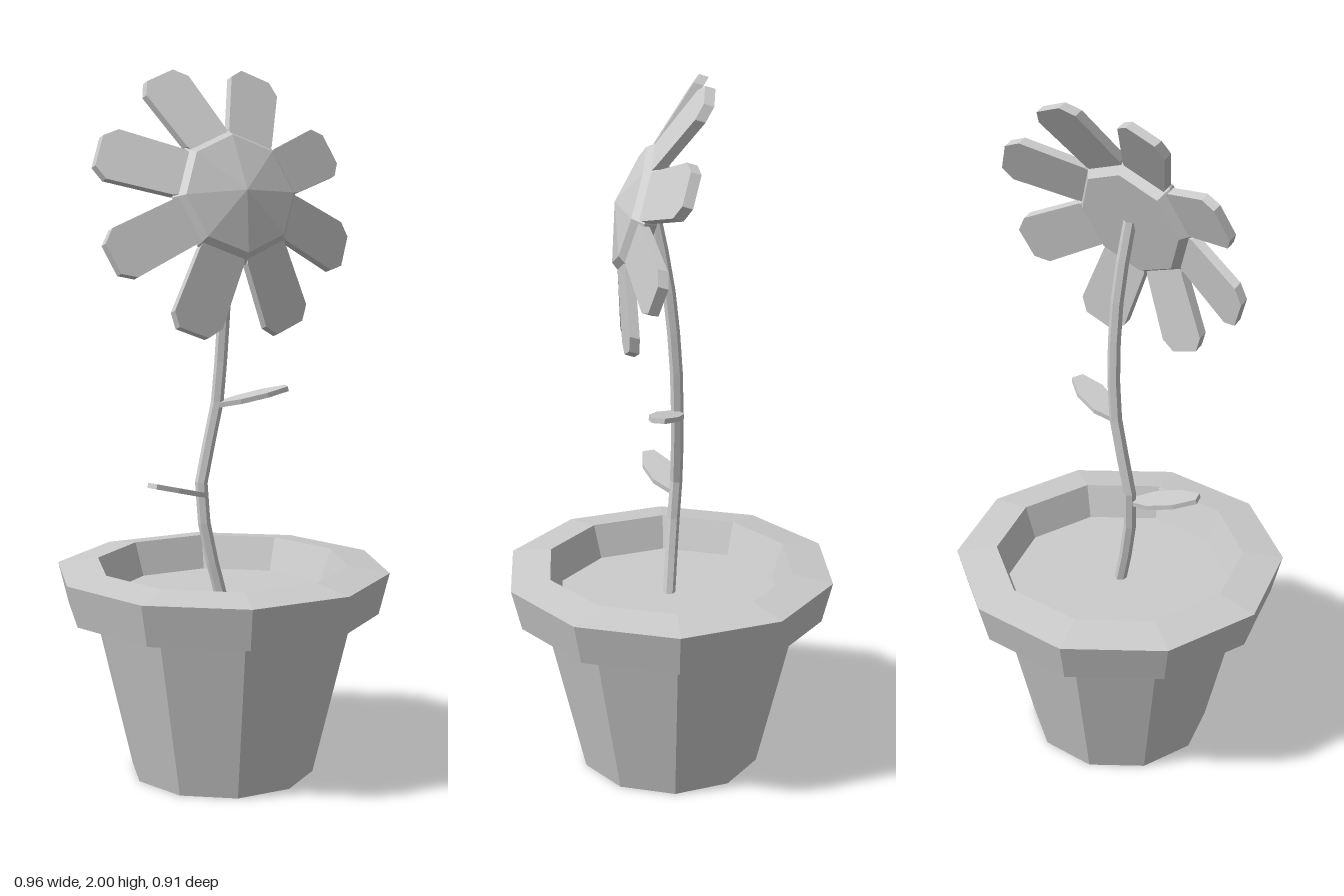
import * as THREE from 'three';

const material = new THREE.MeshStandardMaterial({ color: 0xcccccc, flatShading: true });

function addMesh(parent, name, geometry) {
  const mesh = new THREE.Mesh(geometry, material);
  mesh.name = name;
  parent.add(mesh);
  return mesh;
}

const vec2 = (list) => list.map(([x, y]) => new THREE.Vector2(x, y));

// Ten-sided turned part with a corner on the x axis
const turned = (profile) => new THREE.LatheGeometry(vec2(profile), 10, Math.PI / 2);

// Flat slab, symmetric about the x axis, from half of its outline
function slab(half, thickness) {
  const mirrored = half.map(([x, y]) => [x, -y]);
  const shape = new THREE.Shape(vec2([...mirrored, ...half.reverse()]));
  const geometry = new THREE.ExtrudeGeometry(shape, { depth: thickness, bevelEnabled: false });
  return geometry.translate(0, 0, -thickness / 2);
}

function addLeaf(parent, name, position, yaw, rise) {
  const geometry = slab([[0, 0.012], [0.06, 0.04], [0.14, 0.042], [0.205, 0.018]], 0.014);
  const leaf = addMesh(parent, name, geometry.rotateX(-Math.PI / 2));
  leaf.position.set(...position);
  leaf.rotation.set(0, yaw, rise, 'YZX');
}

function createFlower() {
  const flower = new THREE.Group();
  flower.name = 'flowerHead';

  // Faceted centre with a low cone on its face
  const disc = new THREE.LatheGeometry(
    vec2([[0, -0.035], [0.162, -0.035], [0.192, 0], [0.165, 0.035], [0, 0.075]]), 8);
  addMesh(flower, 'flowerCentre', disc.rotateX(Math.PI / 2));

  // Petals, leaning back towards their tips
  const petal = slab([[0.14, 0.055], [0.178, 0.068], [0.355, 0.074], [0.39, 0.045]], 0.028);
  const p = petal.attributes.position;
  for (let i = 0; i < p.count; i++) {
    p.setZ(i, p.getZ(i) - 0.07 * (p.getX(i) - 0.17) / 0.215);
  }
  for (let i = 0; i < 8; i++) {
    addMesh(flower, 'petal', petal).rotation.z = (i + 0.5) * Math.PI / 4;
  }

  flower.position.set(0, 1.652, 0.077);
  flower.rotation.x = -0.29;
  return flower;
}

export function createModel() {
  const model = new THREE.Group();
  model.name = 'pottedFlower';

  // Pot
  addMesh(model, 'potBody', turned([[0, 0], [0.265, 0], [0.378, 0.475]]));
  addMesh(model, 'potRim', turned(
    [[0.37, 0.475], [0.45, 0.475], [0.48, 0.595], [0.362, 0.612], [0.328, 0.515]]));
  addMesh(model, 'soil', turned([[0.33, 0.515], [0, 0.515]]));

  // Stem
  const path = new THREE.CatmullRomCurve3([
    [0, 0.5, 0.002], [-0.045, 0.7, -0.012], [-0.055, 0.835, -0.022], [-0.005, 1.06, -0.022],
    [0.008, 1.23, -0.016], [0.01, 1.45, 0.006], [0, 1.65, 0.045],
  ].map((a) => new THREE.Vector3(...a)));
  addMesh(model, 'stem', new THREE.TubeGeometry(path, 10, 0.018, 6));

  // Leaves
  addLeaf(model, 'leftLeaf', [-0.005, 1.065, -0.015], -0.29, 0.21);
  addLeaf(model, 'rightLeaf', [-0.055, 0.81, -0.015], Math.PI + 0.33, 0.26);

  model.add(createFlower());
  return model;
}
